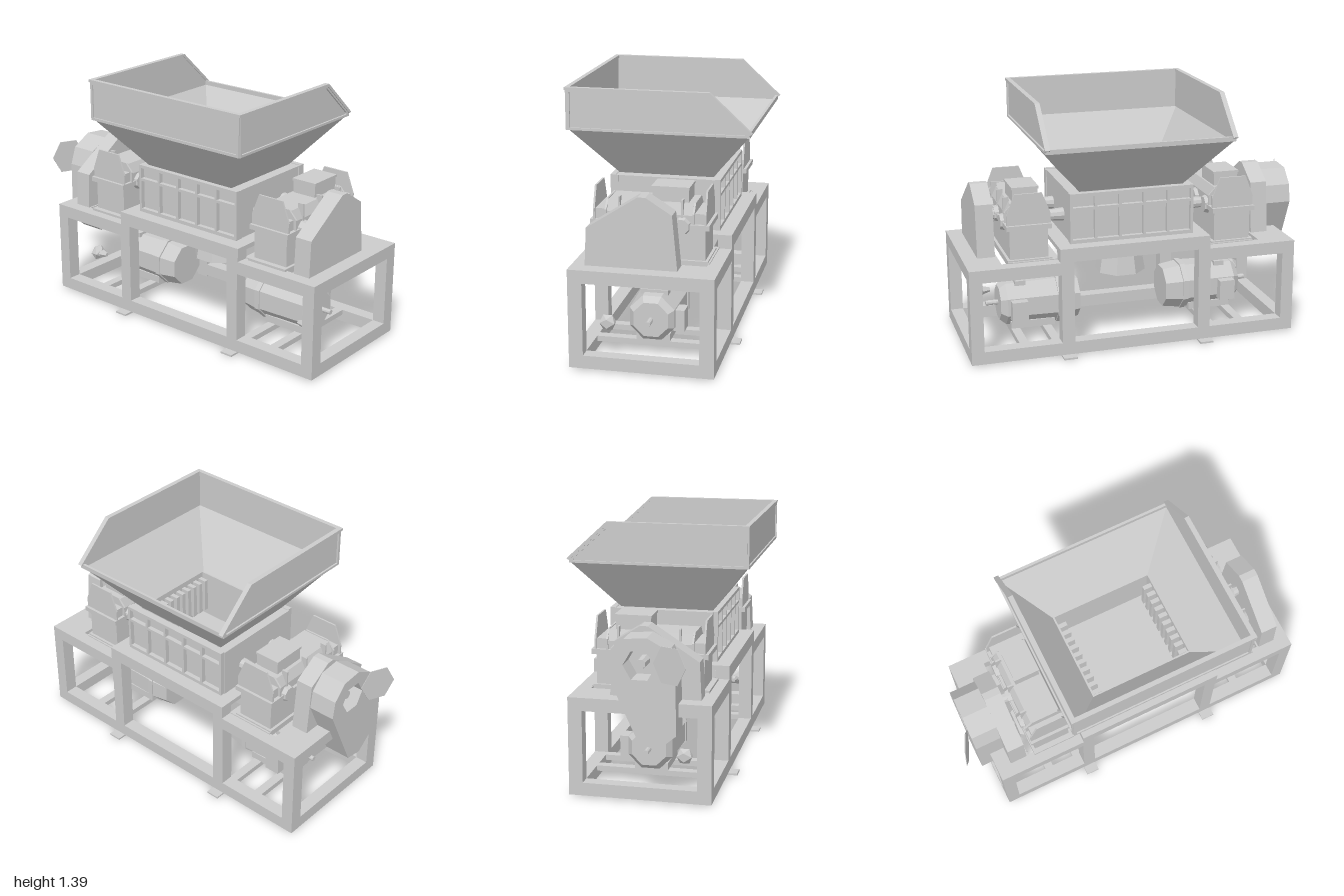
import * as THREE from 'three';

const mat = new THREE.MeshStandardMaterial({ color: 0xcccccc, flatShading: true, side: THREE.DoubleSide });
const MID = 0.075; // the two drive ends mirror about this z

export function createModel() {
  const model = new THREE.Group();

  const add = (name, geo, parent = model) => {
    const mesh = new THREE.Mesh(geo, mat);
    mesh.name = name;
    parent.add(mesh);
    return mesh;
  };
  // Box from its limits on each axis
  const box = (name, x0, x1, y0, y1, z0, z1, parent) =>
    add(name, new THREE.BoxGeometry(x1 - x0, y1 - y0, Math.abs(z1 - z0))
      .translate((x0 + x1) / 2, (y0 + y1) / 2, (z0 + z1) / 2), parent);
  // Cylinder along z, radius r0 at z0 and r1 at z1
  const rod = (name, x, y, z0, z1, r0, r1, sides, parent) => {
    const [a, b, ra, rb] = z0 < z1 ? [z0, z1, r0, r1] : [z1, z0, r1, r0];
    return add(name, new THREE.CylinderGeometry(rb, ra, b - a, sides).rotateY(Math.PI / sides)
      .rotateX(Math.PI / 2).translate(x, y, (a + b) / 2), parent);
  };
  const poly = (pts) => new THREE.Shape(pts.map((p) => new THREE.Vector2(...p)));
  // Outline in x and y, extruded between two z values
  const plate = (name, pts, z0, z1, hole, parent) => {
    const shape = poly(pts);
    if (hole) shape.holes.push(new THREE.Path(hole.map((p) => new THREE.Vector2(...p))));
    return add(name, new THREE.ExtrudeGeometry(shape, { depth: Math.abs(z1 - z0), bevelEnabled: false })
      .translate(0, 0, Math.min(z0, z1)), parent);
  };
  // Outline in z and y, extruded between two x values
  const sidePlate = (name, pts, x0, x1, parent) =>
    add(name, new THREE.ExtrudeGeometry(poly(pts.map(([z, y]) => [-z, y])), { depth: x1 - x0, bevelEnabled: false })
      .rotateY(Math.PI / 2).translate(x0, 0, 0), parent);

  // Base frame
  const frame = new THREE.Group();
  frame.name = 'frame';
  model.add(frame);
  for (const [a, b] of [[-0.38, -0.305], [0.302, 0.377]]) {
    box('bottomRail', a, b, 0.01, 0.08, -0.85, 1, frame);
    box('upperRail', a, b, 0.54, 0.615, -0.345, 0.505, frame);
    for (const s of [1, -1]) {
      const z = (w) => MID + s * w;
      box('endRail', a, b, 0.47, 0.54, z(0.425), z(0.925), frame);
      box('endPost', a, b, 0.08, 0.47, z(0.855), z(0.925), frame);
      box('innerPost', a, b, 0.08, 0.54, z(0.355), z(0.425), frame);
      const out = a < 0 ? -0.43 : 0.302;
      box('foot', out, out + 0.125, 0, 0.01, z(0.355), z(0.43), frame);
    }
  }
  box('chamberDeck', -0.31, 0.31, 0.59, 0.615, -0.345, 0.505, frame);

  // Cutting chamber, open at the top
  const chamber = new THREE.Group();
  chamber.name = 'chamber';
  model.add(chamber);
  for (const s of [1, -1]) {
    const x = (a, b) => (s > 0 ? [a, b] : [-b, -a]);
    box('sideWall', ...x(0.255, 0.275), 0.615, 0.89, -0.27, 0.43, chamber);
    for (const [a, b] of [[0.615, 0.635], [0.8, 0.815], [0.875, 0.893]])
      box('sideBand', ...x(0.27, 0.3), a, b, -0.27, 0.43, chamber);
    for (let i = 0; i < 6; i++)
      box('sideRib', ...x(0.27, 0.3), 0.615, 0.89, -0.27 + i * 0.137, -0.255 + i * 0.137, chamber);
    const z = (w) => MID + s * w;
    box('endWall', -0.275, 0.275, 0.615, 0.89, z(0.29), z(0.35), chamber);
    for (let i = 0; i < 10; i++)
      box('tooth', -0.245 + i * 0.048, -0.22 + i * 0.048, 0.66, 0.86, z(0.24), z(0.292), chamber);
  }

  // Hopper taper: two rectangles joined by four walls
  const hopper = new THREE.Group();
  hopper.name = 'hopper';
  model.add(hopper);
  const ring = (x0, x1, z0, z1, y) => [[x0, y, z0], [x0, y, z1], [x1, y, z1], [x1, y, z0]];
  const low = ring(-0.265, 0.25, -0.225, 0.365, 0.89);
  const high = ring(-0.48, 0.475, -0.435, 0.59, 1.168);
  const pos = [];
  for (let i = 0; i < 4; i++) {
    const j = (i + 1) % 4;
    pos.push(...low[i], ...low[j], ...high[j], ...low[i], ...high[j], ...high[i]);
  }
  const taper = new THREE.BufferGeometry();
  taper.setAttribute('position', new THREE.Float32BufferAttribute(pos, 3));
  taper.computeVertexNormals();
  add('hopperTaper', taper, hopper);

  // Hopper collar with one cut-down loading side
  const outline = [[-0.485, 1.165], [0.478, 1.165], [0.478, 1.19], [0.265, 1.385], [-0.485, 1.385]];
  const inner = [[-0.47, 1.178], [0.455, 1.178], [0.455, 1.188], [0.257, 1.368], [-0.47, 1.368]];
  for (const [wall, out] of [[0.59, 0.6], [-0.435, -0.445]]) {
    plate('collarWall', outline, wall, wall - Math.sign(wall) * 0.008, null, hopper);
    plate('collarBorder', outline, wall, out, inner, hopper);
    const [a, b] = wall > 0 ? [0.578, 0.605] : [-0.45, -0.423];
    plate('collarRim', [[-0.495, 1.378], [0.262, 1.378], [0.478, 1.18], [0.492, 1.188], [0.27, 1.392], [-0.495, 1.392]],
      a, b, null, hopper);
  }
  box('rearCollarWall', -0.485, -0.477, 1.165, 1.385, -0.435, 0.59, hopper);
  box('rearCollarRim', -0.495, -0.47, 1.378, 1.392, -0.45, 0.605, hopper);
  for (const [a, b] of [[1.165, 1.18], [1.366, 1.38]])
    box('rearBorder', -0.493, -0.484, a, b, -0.44, 0.595, hopper);
  for (const z of [-0.44, 0.58]) box('rearBorder', -0.493, -0.484, 1.165, 1.38, z, z + 0.015, hopper);
  box('loadingLip', 0.465, 0.48, 1.165, 1.19, -0.44, 0.595, hopper);

  // Discharge chute under the chamber
  add('dischargeChute', new THREE.CylinderGeometry(0.1, 0.145, 0.25, 8, 1, true)
    .rotateY(Math.PI / 8).translate(0, 0.47, 0.065), model);

  // Mirrored drive ends: gearbox, pulley guard and motor
  const guard = [[-0.31, 0.54], [0.172, 0.54], [0.145, 0.83], [0.01, 0.915], [-0.03, 0.915], [-0.3, 0.74]];
  for (const s of [1, -1]) {
    const end = new THREE.Group();
    end.name = s > 0 ? 'frontDrive' : 'backDrive';
    model.add(end);
    const z = (w) => MID + s * w;
    const zy = (pts) => pts.map(([w, y]) => [z(w), y]);

    for (const [y, h] of [[0.01, 0.07], [0.47, 0.07]])
      box('endBeam', -0.38, 0.377, y, y + h, z(0.855), z(0.925), end);
    box('guardDeck', -0.31, 0.31, 0.515, 0.54, z(0.735), z(0.86), end);
    box('gearboxDeck', -0.31, 0.31, 0.52, 0.545, z(0.42), z(0.7), end);

    box('gearboxBase', -0.325, 0.3, 0.54, 0.553, z(0.455), z(0.7), end);
    box('gearboxLower', -0.295, 0.285, 0.55, 0.73, z(0.475), z(0.685), end);
    box('gearboxFlange', -0.318, 0.308, 0.718, 0.745, z(0.458), z(0.705), end);
    sidePlate('gearboxUpper', zy([[0.47, 0.74], [0.69, 0.74], [0.69, 0.79], [0.665, 0.845], [0.495, 0.845], [0.47, 0.79]]),
      -0.23, 0.22, end);
    for (const [a, b] of [[-0.302, -0.292], [-0.24, -0.23], [0.22, 0.23], [0.282, 0.292]]) {
      const top = Math.abs(a) > 0.27 ? 0.915 : 0.85;
      sidePlate('gearboxEndPlate', zy([[0.46, 0.74], [0.7, 0.74], [0.7, 0.8], [0.655, top], [0.505, top], [0.46, 0.8]]),
        a, b, end);
    }
    box('gearboxShoulder', -0.295, 0.285, 0.74, 0.8, z(0.475), z(0.685), end);
    box('gearboxLid', 0, 0.19, 0.84, 0.915, z(0.505), z(0.645), end);
    box('lidCover', -0.005, 0.195, 0.912, 0.925, z(0.5), z(0.65), end);
    for (const x of [-0.165, 0, 0.165]) {
      rod('bearingCap', x, 0.735, z(0.68), z(0.715), 0.05, 0.04, 8, end);
      box('gearboxRib', x - 0.005, x + 0.005, 0.745, 0.87, z(0.66), z(0.695), end);
      rod('innerBearing', x, 0.735, z(0.45), z(0.48), 0.045, 0.055, 8, end);
    }
    rod('inputShaft', 0, 0.735, z(0.69), z(0.75), 0.035, 0.028, 10, end);
    for (const x of [-0.12, 0.12]) rod('rotorShaft', x, 0.735, z(0.34), z(0.47), 0.037, 0.028, 10, end);

    plate('pulleyGuard', guard, z(0.745), z(0.842), null, end);

    // Motor with cowl, terminal box and mounts
    rod('motorBody', 0, 0.215, z(0.37), z(0.67), 0.138, 0.13, 8, end);
    rod('motorNose', 0, 0.215, z(0.67), z(0.705), 0.13, 0.1, 8, end);
    rod('motorFlange', 0, 0.215, z(0.355), z(0.385), 0.145, 0.145, 8, end);
    rod('motorCowl', 0, 0.213, z(0.255), z(0.36), 0.122, 0.138, 8, end);
    rod('motorShaft', 0, 0.215, z(0.7), z(0.775), 0.014, 0.014, 10, end);
    box('terminalBox', 0.1, 0.17, 0.145, 0.26, z(0.565), z(0.655), end);
    box('motorFoot', -0.09, 0.09, 0.078, 0.12, z(0.4), z(0.65), end);
    box('motorLug', -0.075, 0.075, 0.325, 0.352, z(0.56), z(0.62), end);
    for (const w of [0.42, 0.6]) box('motorRail', -0.31, 0.31, 0.05, 0.08, z(w), z(w + 0.05), end);
    const knob = add('looseCoupling', new THREE.IcosahedronGeometry(0.047, 0), end);
    knob.position.set(-0.21, 0.215, z(0.78));
    knob.scale.z = 0.8;
    rod('couplingStub', -0.21, 0.215, z(0.71), z(0.76), 0.012, 0.026, 6, end);
  }

  // Tall belt guard on the back, with a hexagonal port and its open cover
  const hex = (cx, cy, rx, ry) => Array.from({ length: 6 }, (_, i) =>
    [cx + rx * Math.cos(i * Math.PI / 3), cy + ry * Math.sin(i * Math.PI / 3)]);
  const beltOutline = [[-0.21, 0.39], [-0.12, 0.315], [-0.02, 0.33], [0.15, 0.7], [0.135, 0.8],
    [0.06, 0.88], [-0.06, 0.89], [-0.17, 0.83], [-0.205, 0.73]];
  plate('beltGuard', beltOutline, -0.915, -0.79, hex(-0.02, 0.745, 0.085, 0.085));
  plate('beltGuardBack', beltOutline, -0.79, -0.765);
  rod('beltShaft', -0.02, 0.745, -0.79, -0.88, 0.03, 0.025, 8);
  const cover = plate('portCover', hex(0, 0, 0.1, 0.108), -0.002, 0.002);
  cover.position.set(-0.185, 0.765, -0.957);
  cover.rotation.y = -0.42;

  return model;
}
